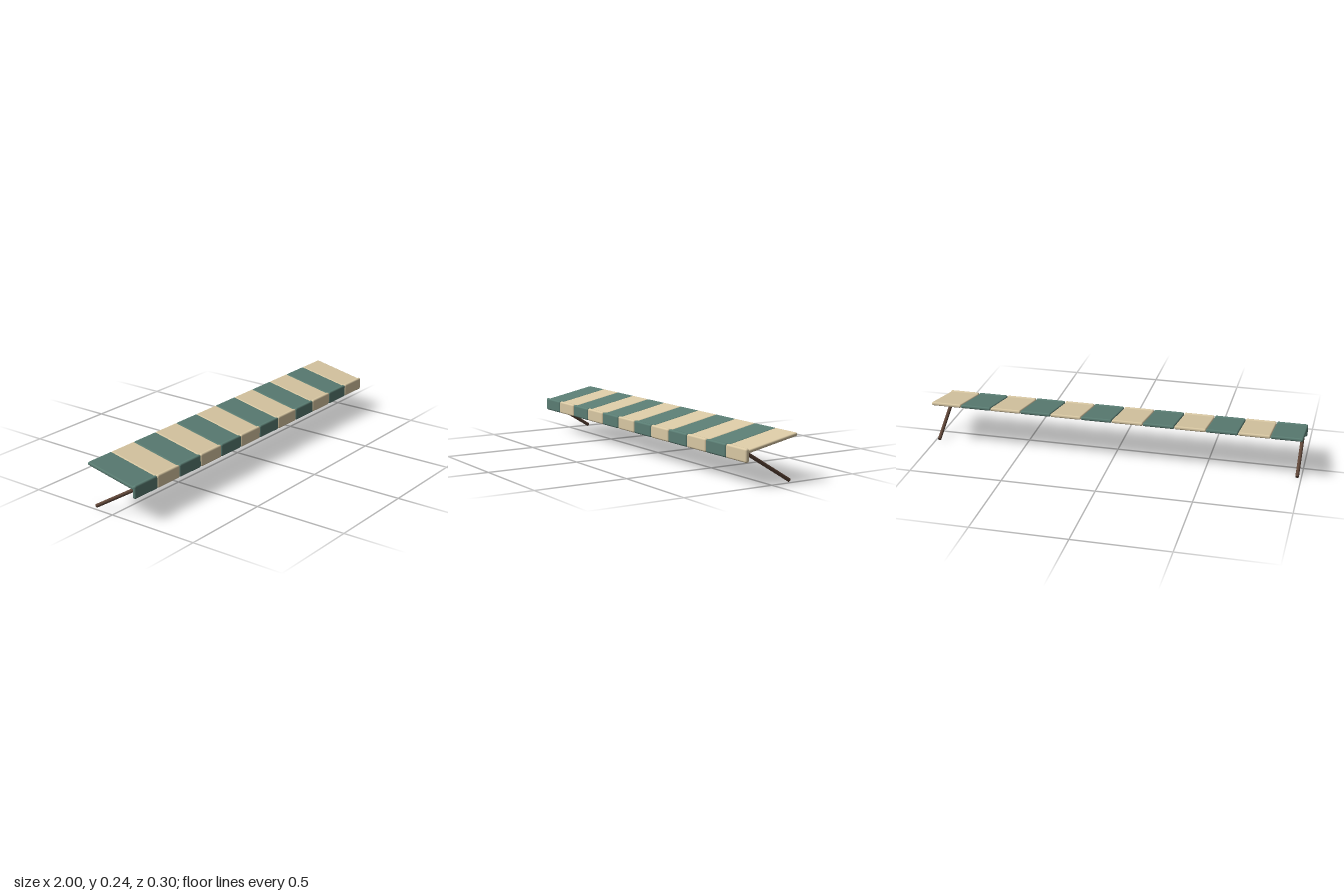
import * as THREE from 'three';
import { RoundedBoxGeometry } from 'three/addons/geometries/RoundedBoxGeometry.js';

const STRIPES = 12;
const PITCH = 2 / STRIPES;

export function createModel() {
  const awning = new THREE.Group();
  awning.name = 'awning';

  const green = new THREE.MeshStandardMaterial({ color: 0x5a7d73 });
  const cream = new THREE.MeshStandardMaterial({ color: 0xdac9a4 });
  const brown = new THREE.MeshStandardMaterial({ color: 0x5f4638 });

  const add = (name, geometry, material, x, y, z) => {
    const mesh = new THREE.Mesh(geometry, material);
    mesh.name = name;
    mesh.position.set(x, y, z);
    awning.add(mesh);
    return mesh;
  };

  // Sloped canopy stripes, each with a hanging valance at the front edge
  const canopyGeo = new RoundedBoxGeometry(PITCH - 0.0005, 0.018, 0.302, 3, 0.0075);
  const valanceGeo = new RoundedBoxGeometry(PITCH - 0.0015, 0.068, 0.021, 3, 0.0095);
  for (let i = 0; i < STRIPES; i++) {
    const x = -1 + (i + 0.5) * PITCH;
    const material = i % 2 ? cream : green;
    add('canopyStripe', canopyGeo, material, x, 0.2025, -0.003).rotation.x = 0.198;
    add('valance', valanceGeo, material, x, 0.155, 0.1425);
  }

  // Diagonal support arms from the front edge down to the wall
  const front = new THREE.Vector3(0, 0.161, 0.13);
  const wall = new THREE.Vector3(0, 0.0082, -0.1205);
  const along = wall.clone().sub(front);
  const armGeo = new THREE.CylinderGeometry(0.0095, 0.0095, along.length(), 12);
  const middle = front.clone().add(wall).multiplyScalar(0.5);
  const up = new THREE.Vector3(0, 1, 0);
  for (const side of [-1, 1]) {
    const arm = add(side > 0 ? 'leftArm' : 'rightArm', armGeo, brown, side * 0.979, middle.y, middle.z);
    arm.quaternion.setFromUnitVectors(up, along.clone().negate().normalize());
  }

  return awning;
}
